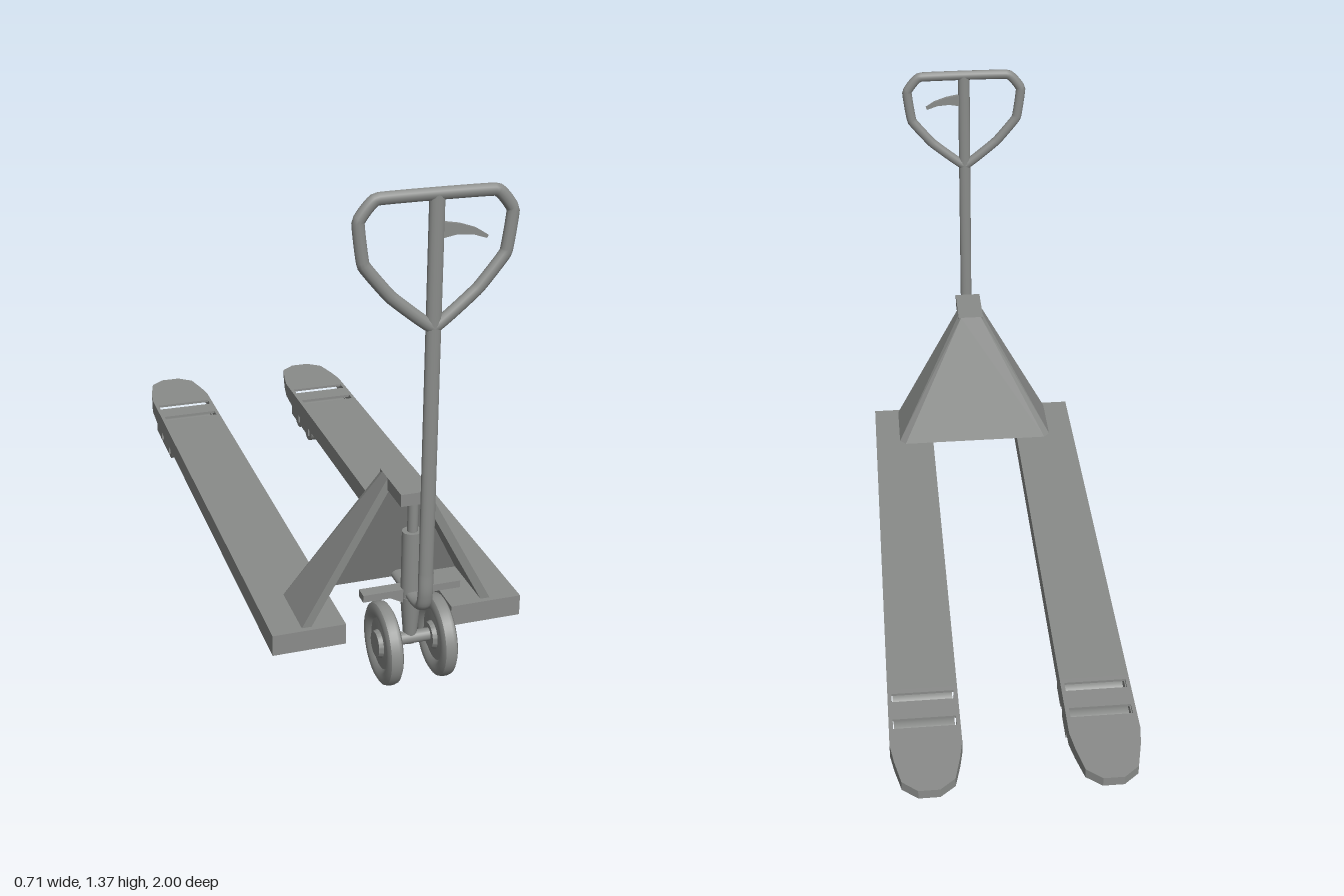
import * as THREE from 'three';
import { toCreasedNormals } from 'three/addons/utils/BufferGeometryUtils.js';
import { ConvexGeometry } from 'three/addons/geometries/ConvexGeometry.js';

const V = (x, y, z) => new THREE.Vector3(x, y, z);

export function createModel() {
  const model = new THREE.Group();
  model.name = 'palletTruck';
  const grey = new THREE.MeshStandardMaterial({ color: 0x8a8c8a, side: THREE.DoubleSide });
  grey.name = 'grey steel';

  const add = (parent, name, geometry, x = 0, y = 0, z = 0) => {
    const mesh = new THREE.Mesh(geometry, grey);
    mesh.name = name;
    mesh.position.set(x, y, z);
    parent.add(mesh);
    return mesh;
  };
  const shapeOf = (pts) => new THREE.Shape(pts.map((p) => new THREE.Vector2(p[0], p[1])));
  const extrude = (shape, depth) => new THREE.ExtrudeGeometry(shape, { depth, bevelEnabled: false });
  const hull = (pts) => new ConvexGeometry(pts.map((p) => V(...p)));
  const rod = (r1, r2, length, sides = 24) => new THREE.CylinderGeometry(r1, r2, length, sides);
  const crossRod = (r, length) => rod(r, r, length).rotateZ(Math.PI / 2);

  // Forks: slotted deck, open-bottomed skirt that thins towards the tip
  const half = [[0.102, 0.805, 0.07], [0.102, -0.62, 0.07], [0.102, -0.76, 0.073],
    [0.102, -0.83, 0.083], [0.092, -0.89, 0.092], [0.074, -0.965, 0.099], [0.03, -1, 0.1]];
  const outline = [...half, ...half.map(([x, z, b]) => [-x, z, b]).reverse()];
  const deck = shapeOf(outline);
  for (const [z0, z1] of [[-0.77, -0.735], [-0.667, -0.635]]) {
    deck.holes.push(new THREE.Path([[-0.09, z0], [-0.09, z1], [0.09, z1], [0.09, z0]]
      .map((p) => new THREE.Vector2(...p))));
  }
  const deckGeometry = extrude(deck, 0.008).rotateX(Math.PI / 2);
  const walls = [];
  outline.forEach(([x, z, b], i) => {
    const [x2, z2, b2] = outline[(i + 1) % outline.length];
    walls.push(V(x, b, z), V(x2, b2, z2), V(x2, 0.13, z2), V(x, b, z), V(x2, 0.13, z2), V(x, 0.13, z));
  });
  const skirtGeometry = new THREE.BufferGeometry().setFromPoints(walls);
  skirtGeometry.computeVertexNormals();

  for (const s of [-1, 1]) {
    const fork = new THREE.Group();
    fork.name = s > 0 ? 'leftFork' : 'rightFork';
    fork.position.x = s * 0.253;
    model.add(fork);
    add(fork, 'forkDeck', deckGeometry, 0, 0.13);
    add(fork, 'forkSkirt', skirtGeometry);
    for (const z of [-0.6, -0.72]) {
      add(fork, 'loadRoller', crossRod(0.045, 0.175), 0, 0.05, z);
      for (const t of [-1, 1]) {
        add(fork, 'rollerBracket', new THREE.BoxGeometry(0.006, 0.05, 0.085), t * 0.097, 0.063, z);
      }
    }
  }

  // Tower: sloping back panel, two cheeks with a chamfered rear edge, top cap
  add(model, 'towerPanel', hull([-1, 1].flatMap((s) => [
    [s * 0.25, 0.13, 0.59], [s * 0.25, 0.13, 0.605], [s * 0.035, 0.55, 0.75], [s * 0.035, 0.55, 0.765]])));
  for (const s of [-1, 1]) {
    add(model, 'towerCheek', hull([
      [0.27, 0.13, 0.61], [0.27, 0.13, 0.79], [0.25, 0.13, 0.59], [0.243, 0.13, 0.79], [0.243, 0.13, 0.6],
      [0.043, 0.55, 0.77], [0.043, 0.55, 0.81], [0.035, 0.55, 0.75], [0.018, 0.55, 0.81], [0.018, 0.55, 0.76],
    ].map(([x, y, z]) => [x * s, y, z])));
  }
  add(model, 'towerCap', new THREE.BoxGeometry(0.086, 0.034, 0.16), 0, 0.533, 0.83);

  // Hydraulic lift
  add(model, 'pistonRod', rod(0.014, 0.014, 0.12), 0, 0.47, 0.885);
  add(model, 'pumpCylinder', rod(0.024, 0.024, 0.19), 0, 0.335, 0.885).scale.x = 1.15;
  add(model, 'steeringColumn', rod(0.028, 0.016, 0.14), 0, 0.17, 0.885);

  // Steering wheels and axle
  const side = [[0, 0.024], [0.034, 0.024], [0.038, 0.012], [0.068, 0.01], [0.08, 0.02], [0.098, 0.021], [0.108, 0.015], [0.111, 0.006]];
  const profile = [...side.map(([r, x]) => [r, -x]), ...side.slice().reverse()];
  const wheelGeometry = toCreasedNormals(
    new THREE.LatheGeometry(profile.map((p) => new THREE.Vector2(...p)), 40).rotateZ(Math.PI / 2), 0.7);
  for (const s of [-1, 1]) add(model, 'steerWheel', wheelGeometry, s * 0.075, 0.111, 0.89);
  add(model, 'wheelAxle', crossRod(0.017, 0.11), 0, 0.115, 0.89);

  // Foot pedal bar with dipped middle
  const pedal = shapeOf([[-0.135, 0.245], [-0.06, 0.245], [-0.025, 0.226], [0.025, 0.226], [0.06, 0.245],
    [0.135, 0.245], [0.135, 0.265], [-0.135, 0.265]]);
  add(model, 'pedalBar', extrude(pedal, 0.035), 0, 0, 0.86);

  // Handle: pole bent forward at its foot, grip loop and release lever
  const bend = new THREE.CatmullRomCurve3([V(0, 0.25, 0.79), V(0, 0.25, 0.88), V(0, 0.25, 0.94),
    V(0, 0.262, 0.974), V(0, 0.3, 0.986), V(0, 0.36, 0.986)]);
  const foot = add(model, 'poleFoot', new THREE.TubeGeometry(bend, 32, 0.0135, 16));
  foot.scale.x = 1.5;
  add(model, 'handlePole', rod(0.0135, 0.0135, 1.01, 16), 0, 0.85, 0.986).scale.x = 1.45;
  const grip = [[0.11, 1.113], [0.178, 1.197], [0.192, 1.302], [0.147, 1.353]];
  const loop = [[0, 1.026], ...grip, ...grip.slice().reverse().map(([x, y]) => [-x, y])];
  const loopCurve = new THREE.CatmullRomCurve3(loop.map(([x, y]) => V(x, y, 0)), true, 'catmullrom', 0.12);
  add(model, 'gripLoop', new THREE.TubeGeometry(loopCurve, 120, 0.016, 12, true), 0, 0, 0.986).scale.z = 0.85;
  const lever = shapeOf([[0.01, 1.287], [0.06, 1.278], [0.1, 1.264], [0.13, 1.245], [0.126, 1.238],
    [0.09, 1.25], [0.05, 1.253], [0.01, 1.246]]);
  add(model, 'releaseLever', extrude(lever, 0.012), 0, 0, 0.98);

  return model;
}
